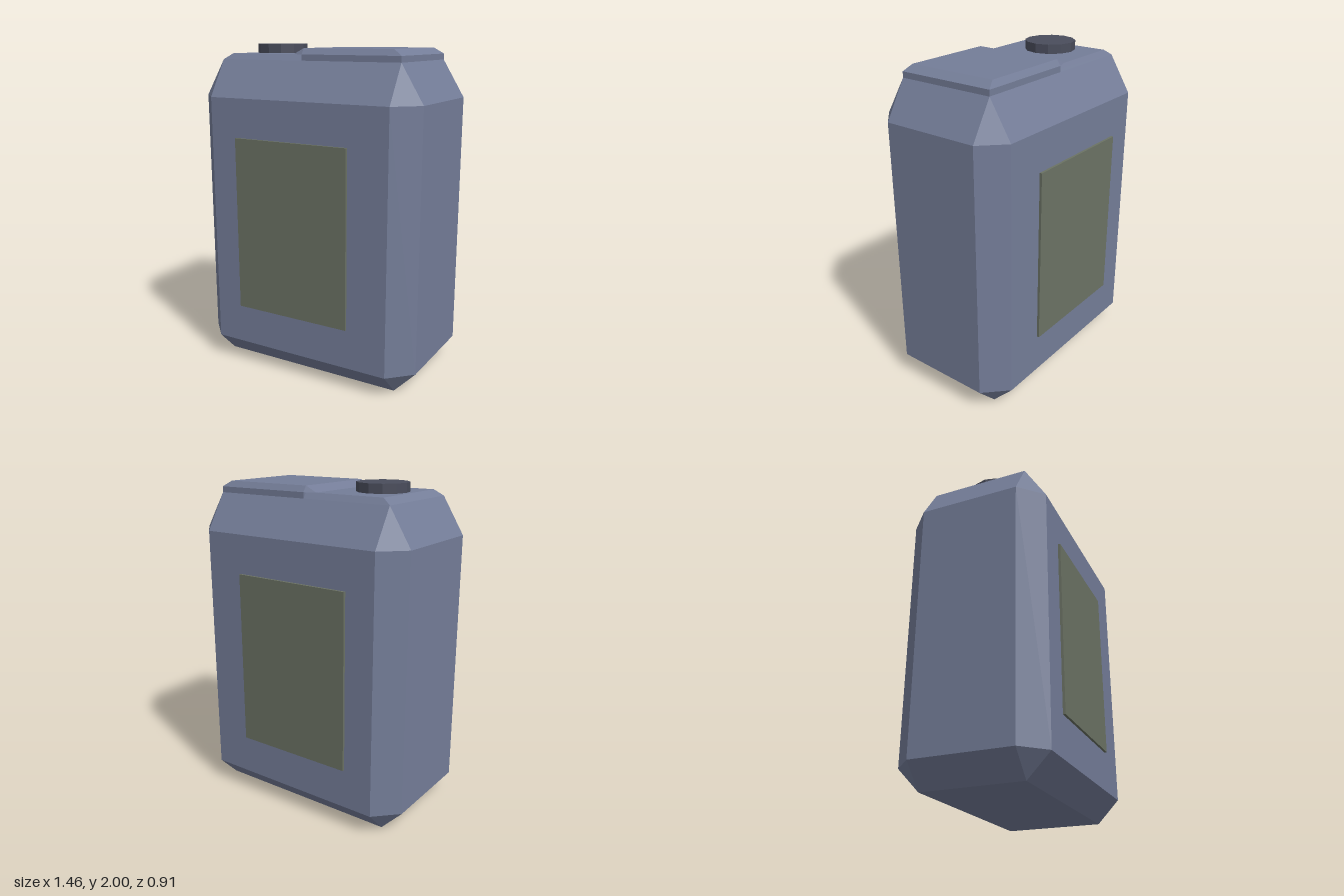
import * as THREE from 'three';

const bodyPlastic = new THREE.MeshStandardMaterial({ color: 0x747d98 });
const labelOlive = new THREE.MeshStandardMaterial({ color: 0x6b7264 });
const capDark = new THREE.MeshStandardMaterial({ color: 0x4a4d5c });

// Skin a list of equal-length rings with hard-edged faces and close both ends.
function loft(rings) {
  const pos = [];
  const tri = (a, b, c) => {
    const area = new THREE.Triangle(a, b, c).getArea();
    if (area > 1e-7) for (const p of [a, b, c]) pos.push(p.x, p.y, p.z);
  };
  const n = rings[0].length;
  for (let r = 0; r < rings.length - 1; r++) {
    const a = rings[r], b = rings[r + 1];
    for (let i = 0; i < n; i++) {
      const j = (i + 1) % n;
      tri(a[i], b[i], b[j]);
      tri(a[i], b[j], a[j]);
    }
  }
  const first = rings[0], last = rings[rings.length - 1];
  for (let i = 1; i < n - 1; i++) {
    tri(first[0], first[i], first[i + 1]);
    tri(last[0], last[i + 1], last[i]);
  }
  const g = new THREE.BufferGeometry();
  g.setAttribute('position', new THREE.Float32BufferAttribute(pos, 3));
  g.computeVertexNormals();
  return g;
}

// Rectangle (x, z half sizes) grown outward by e on each side, leaving cut corners.
function bodyRing(y, x, z, e) {
  return [[x + e, z], [x, z + e], [-x, z + e], [-x - e, z],
    [-x - e, -z], [-x, -z - e], [x, -z - e], [x + e, -z]]
    .map(([px, pz]) => new THREE.Vector3(px, y, pz));
}

// Mirrored cross-section at x from [z, y] points, listed from bottom to top.
function ridgeRing(x, half) {
  const front = half.map(([z, y]) => new THREE.Vector3(x, y, z));
  const back = half.map(([z, y]) => new THREE.Vector3(x, y, -z)).reverse();
  return [...front, ...back];
}

export function createModel() {
  const group = new THREE.Group();
  const add = (name, geometry, material, x = 0, y = 0, z = 0) => {
    const mesh = new THREE.Mesh(geometry, material);
    mesh.name = name;
    mesh.position.set(x, y, z);
    group.add(mesh);
  };

  // Chamfered canister with sloping shoulders
  add('canisterBody', loft([
    bodyRing(0, 0.595, 0.305, 0),
    bodyRing(0.14, 0.595, 0.305, 0.135),
    bodyRing(1.69, 0.595, 0.305, 0.135),
    bodyRing(1.91, 0.595, 0.305, 0),
    bodyRing(1.945, 0.54, 0.28, 0),
  ]), bodyPlastic);

  // Raised top with a sloped step beside the cap
  const low = [0.28, 1.945], base = [0.305, 1.91], rim = [0.305, 1.945], crest = [0.28, 1.98];
  add('raisedTop', loft([
    ridgeRing(-0.1, [low, low, low]),
    ridgeRing(-0.03, [low, rim, crest]),
    ridgeRing(-0.03, [base, rim, crest]),
    ridgeRing(0.54, [base, rim, crest]),
    ridgeRing(0.595, [base, rim, rim]),
  ]), bodyPlastic);

  // Screw cap
  const cap = new THREE.CylinderGeometry(0.154, 0.154, 0.06, 12).toNonIndexed();
  cap.computeVertexNormals();
  add('screwCap', cap, capDark, -0.365, 1.97, 0);

  // Label plates on both broad faces
  for (const [name, s] of [['frontLabel', 1], ['backLabel', -1]]) {
    add(name, new THREE.BoxGeometry(0.757, 1.07, 0.02), labelOlive, -0.034, 0.92, s * 0.445);
  }
  return group;
}
